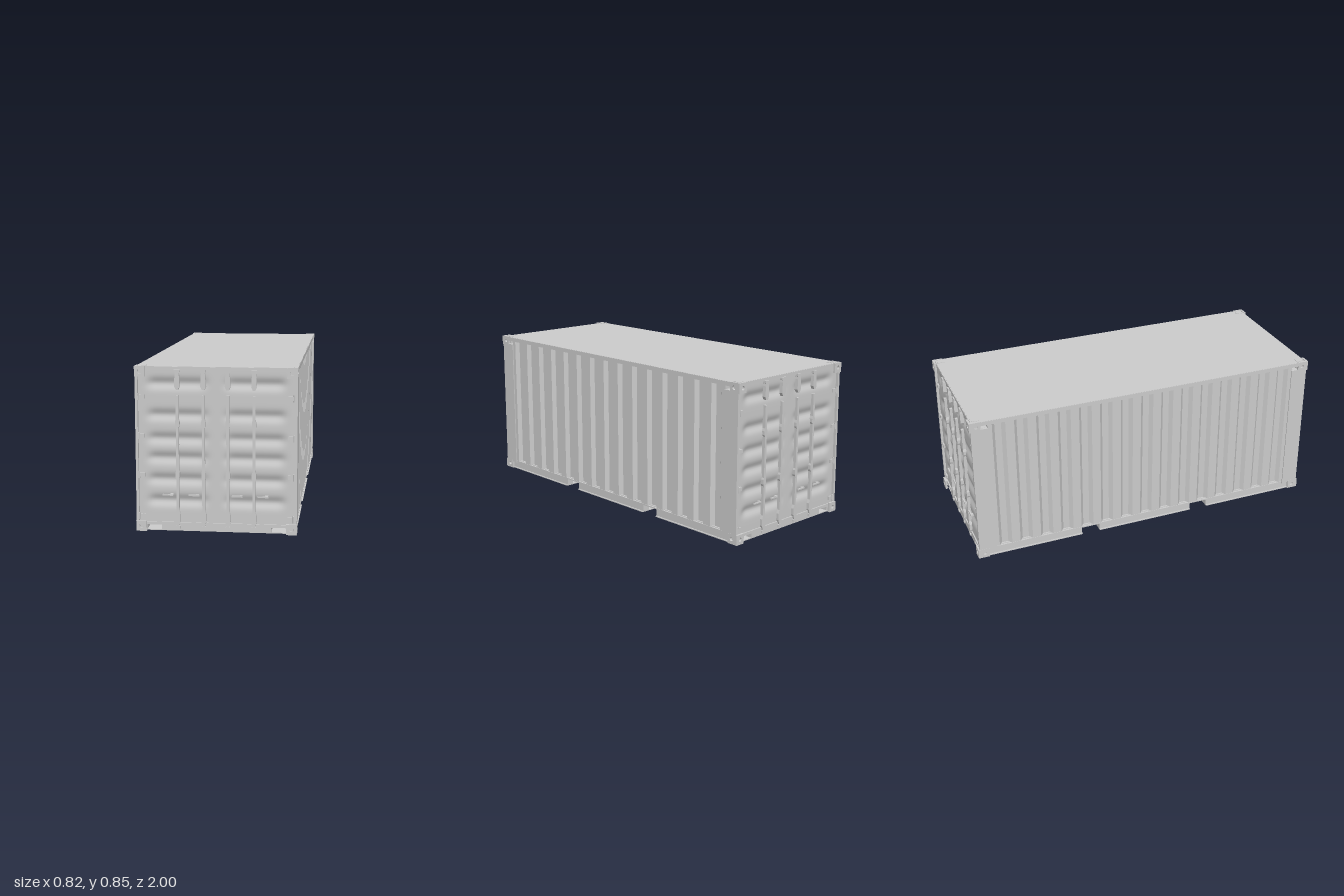
import * as THREE from 'three';

const mat = new THREE.MeshStandardMaterial({ color: 0xcccccc, side: THREE.DoubleSide });

function add(parent, name, geo, x = 0, y = 0, z = 0) {
  const m = new THREE.Mesh(geo, mat);
  m.name = name;
  m.position.set(x, y, z);
  parent.add(m);
  return m;
}

// Box given by its min and max on each axis
function block(parent, name, x0, x1, y0, y1, z0, z1) {
  return add(parent, name, new THREE.BoxGeometry(x1 - x0, y1 - y0, z1 - z0),
    (x0 + x1) / 2, (y0 + y1) / 2, (z0 + z1) / 2);
}

// Square plate with a round hole, facing +z
function holedPlate(w, h, depth) {
  const s = new THREE.Shape();
  s.moveTo(-w / 2, -h / 2).lineTo(w / 2, -h / 2).lineTo(w / 2, h / 2).lineTo(-w / 2, h / 2).closePath();
  s.holes.push(new THREE.Path().absarc(0, 0, 0.011, 0, Math.PI * 2, true));
  return new THREE.ExtrudeGeometry(s, { depth, bevelEnabled: false, curveSegments: 6 });
}

// Symmetric bar outline from [y, halfWidth] pairs, extruded along z
function barGeometry(profile, depth) {
  const right = profile.map(([y, w]) => new THREE.Vector2(w, y));
  const left = profile.map(([y, w]) => new THREE.Vector2(-w, y)).reverse();
  return new THREE.ExtrudeGeometry(new THREE.Shape([...right, ...left]), { depth, bevelEnabled: false });
}

// Corner block with holes on its end and its side
function cornerCasting(parent, sx, y) {
  const g = new THREE.Group();
  g.name = 'cornerCasting';
  g.position.set(sx * 0.383, y, 0.969);
  add(g, 'castingCore', new THREE.BoxGeometry(0.034, 0.054, 0.04), -sx * 0.01, 0, -0.011);
  add(g, 'castingEndPlate', holedPlate(0.054, 0.054, 0.012), 0, 0, 0.019);
  const side = add(g, 'castingSidePlate', holedPlate(0.05, 0.054, 0.012), sx * 0.015, 0, -0.006);
  side.rotation.y = sx * Math.PI / 2;
  parent.add(g);
}

// Door panel with soft horizontal grooves, flat at the borders and the middle seam
function doorPanel() {
  const geo = new THREE.PlaneGeometry(0.79, 0.79, 48, 80);
  const p = geo.attributes.position;
  const grooves = [-0.28, -0.17, -0.06, 0.04, 0.16, 0.32];
  for (let i = 0; i < p.count; i++) {
    const x = Math.abs(p.getX(i)), y = p.getY(i);
    const fade = THREE.MathUtils.smoothstep(x, 0.02, 0.09) * (1 - THREE.MathUtils.smoothstep(x, 0.31, 0.37));
    let d = 0;
    for (const c of grooves) d += Math.exp(-(((y - c) / 0.025) ** 2));
    p.setZ(i, -0.014 * d * fade);
  }
  geo.computeVertexNormals();
  return geo;
}

function doorEnd() {
  const g = new THREE.Group();
  g.name = 'doorEnd';
  add(g, 'doorPanel', doorPanel(), 0, 0.437, 0.979);
  block(g, 'header', -0.36, 0.36, 0.825, 0.842, 0.94, 0.988);
  block(g, 'sill', -0.28, 0.28, 0.003, 0.045, 0.95, 0.986);
  block(g, 'sillTop', -0.39, 0.39, 0.03, 0.045, 0.95, 0.986);

  for (const sx of [-1, 1]) {
    // Corner post and its wide side face
    add(g, 'cornerPost', new THREE.BoxGeometry(0.013, 0.76, 0.095), sx * 0.4025, 0.42, 0.945);
    add(g, 'postInner', new THREE.BoxGeometry(0.03, 0.76, 0.07), sx * 0.38, 0.42, 0.935);
    for (const y of [0.025, 0.818]) cornerCasting(g, sx, y);
    // Hinges
    for (const y of [0.075, 0.29, 0.49, 0.69]) {
      add(g, 'hingePlate', new THREE.BoxGeometry(0.035, 0.02, 0.01), sx * 0.38, y, 0.983);
      add(g, 'hingePin', new THREE.CylinderGeometry(0.006, 0.006, 0.035, 8), sx * 0.394, y, 0.987);
    }
  }

  // Locking bars with cams, brackets and upper keepers
  const lower = [[0.015, 0.011], [0.028, 0.011], [0.03, 0.006], [0.055, 0.014], [0.09, 0.014], [0.11, 0.007],
    [0.27, 0.007], [0.28, 0.011], [0.305, 0.011], [0.315, 0.007], [0.535, 0.007], [0.545, 0.011],
    [0.565, 0.011], [0.58, 0.007], [0.7, 0.007]];
  const keeper = [[0.728, 0.006], [0.745, 0.014], [0.8, 0.011], [0.812, 0.009], [0.815, 0.014], [0.828, 0.014]];
  for (const x of [-0.195, -0.063, 0.06, 0.192]) {
    add(g, 'lockingBar', barGeometry(lower, 0.018), x, 0, 0.976);
    add(g, 'barKeeper', barGeometry(keeper, 0.02), x, 0, 0.976);
  }
  // Handles
  for (const x of [-0.245, -0.112, 0.108, 0.238]) {
    block(g, 'handle', x - 0.028, x + 0.028, 0.185, 0.192, 0.986, 0.994);
    block(g, 'handleCatch', x + 0.01, x + 0.026, 0.183, 0.194, 0.965, 0.99);
  }
  return g;
}

// Corrugated wall with its rails, on the +x side
function sideWall() {
  const g = new THREE.Group();
  g.name = 'sideWall';
  const out = 0.404, inn = 0.385, n = 15, step = 1.8 / n;
  const pts = [[0.36, -0.9], [out, -0.9]];
  for (let i = 0; i < n; i++) {
    const z = -0.9 + i * step;
    pts.push([out, z + step * 0.2], [inn, z + step * 0.35], [inn, z + step * 0.65], [out, z + step * 0.8]);
  }
  pts.push([out, 0.9], [0.36, 0.9]);
  const shape = new THREE.Shape(pts.map(([x, z]) => new THREE.Vector2(x, z)));
  const wall = add(g, 'corrugatedWall',
    new THREE.ExtrudeGeometry(shape, { depth: 0.775, bevelEnabled: false }), 0, 0.05, 0);
  wall.rotation.x = -Math.PI / 2;
  block(g, 'topRail', 0.37, 0.408, 0.82, 0.842, -0.945, 0.945);
  block(g, 'bottomRailFlange', 0.36, 0.406, 0.045, 0.052, -0.945, 0.945);
  return g;
}

// Floor sections separated by two cross channels for forks
function underframe() {
  const g = new THREE.Group();
  g.name = 'underframe';
  block(g, 'floorDeck', -0.395, 0.395, 0.045, 0.055, -0.97, 0.97);
  for (const [z0, z1] of [[-0.94, -0.39], [-0.285, 0.285], [0.39, 0.94]]) {
    block(g, 'bottomPlate', -0.405, 0.405, 0, 0.005, z0, z1);
    block(g, 'floorCore', -0.28, 0.28, 0.005, 0.045, z0, z1);
    for (const sx of [-1, 1]) {
      add(g, 'railWeb', new THREE.BoxGeometry(0.04, 0.04, z1 - z0), sx * 0.377, 0.025, (z0 + z1) / 2);
    }
  }
  for (const sz of [-1, 1]) {
    add(g, 'endPlate', new THREE.BoxGeometry(0.72, 0.005, 0.045), 0, 0.0025, sz * 0.96);
  }
  return g;
}

export function createModel() {
  const model = new THREE.Group();
  model.name = 'cargoContainer';
  for (const angle of [0, Math.PI]) {
    const end = doorEnd(), side = sideWall();
    end.rotation.y = side.rotation.y = angle;
    model.add(end, side);
  }
  block(model, 'roof', -0.406, 0.406, 0.832, 0.843, -0.985, 0.985);
  model.add(underframe());
  return model;
}
